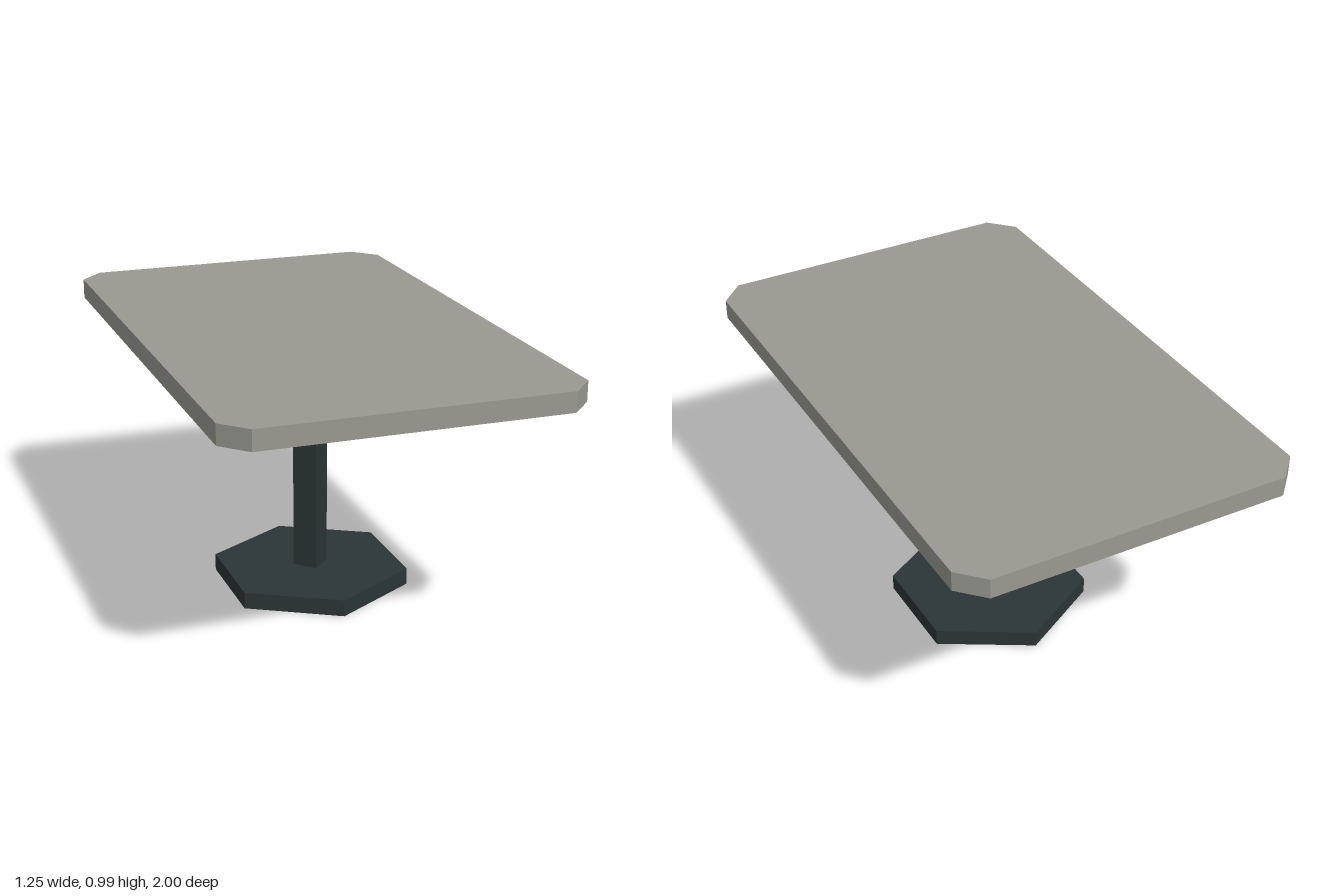
import * as THREE from 'three';

export function createModel() {
  const model = new THREE.Group();
  model.name = 'table';

  const topMat = new THREE.MeshStandardMaterial({ color: 0x999991, flatShading: true });
  topMat.name = 'warm grey';
  const metalMat = new THREE.MeshStandardMaterial({ color: 0x2b3535, flatShading: true, side: THREE.DoubleSide });
  metalMat.name = 'dark slate';

  const add = (name, geometry, material, y, parent = model) => {
    const mesh = new THREE.Mesh(geometry, material);
    mesh.name = name;
    mesh.position.y = y;
    parent.add(mesh);
    return mesh;
  };

  // Tabletop: rectangle with cut corners
  const W = 0.623, D = 1, cutX = 0.085, cutZ = 0.088;
  const outline = new THREE.Shape([
    [W, -D + cutZ], [W, D - cutZ], [W - cutX, D], [-W + cutX, D],
    [-W, D - cutZ], [-W, -D + cutZ], [-W + cutX, -D], [W - cutX, -D],
  ].map(([x, z]) => new THREE.Vector2(x, z)));
  const topGeo = new THREE.ExtrudeGeometry(outline, { depth: 0.072, bevelEnabled: false });
  topGeo.rotateX(-Math.PI / 2);
  add('tabletop', topGeo, topMat, 0.913);

  // Square column set edge-on, an open tube reaching slightly below the base plate
  const bottom = 0.027, top = 0.913;
  add('column', new THREE.CylinderGeometry(0.066, 0.066, top - bottom, 4, 1, true), metalMat, (top + bottom) / 2);

  // Hexagonal foot, hollow underneath
  const foot = new THREE.Group();
  foot.name = 'foot';
  model.add(foot);
  const R = 0.366, H = 0.062;
  add('footRim', new THREE.CylinderGeometry(R, R, H, 6, 1, true), metalMat, H / 2, foot);
  const plate = new THREE.CircleGeometry(R, 6, Math.PI / 2);
  plate.rotateX(-Math.PI / 2);
  add('footPlate', plate, metalMat, H, foot);

  return model;
}
